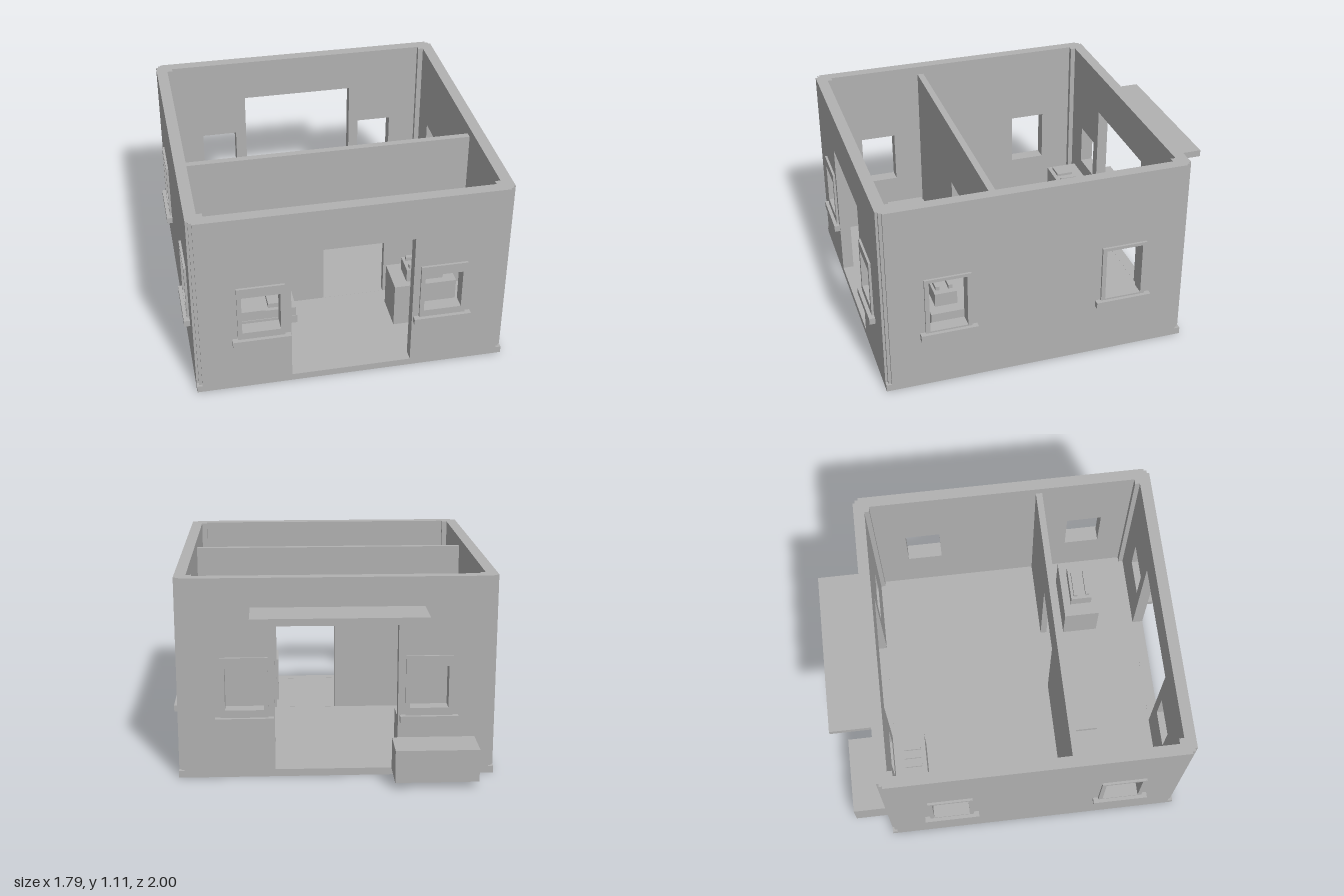
import * as THREE from 'three';

const TOP = 1.11, FLOOR = 0.04, THICK = 0.063;
const XO = 0.86, ZF = 0.963, ZB = -0.756; // outer wall faces

export function createModel() {
  const model = new THREE.Group();
  const plaster = new THREE.MeshStandardMaterial({ color: 0xb2b2b2 });
  plaster.name = 'grey plaster';

  const mesh = (name, geometry, parent = model) => {
    const m = new THREE.Mesh(geometry, plaster);
    m.name = name;
    parent.add(m);
    return m;
  };
  // box from min and max corners
  const box = (name, x0, x1, y0, y1, z0, z1, parent = model) => {
    const m = mesh(name, new THREE.BoxGeometry(x1 - x0, y1 - y0, z1 - z0), parent);
    m.position.set((x0 + x1) / 2, (y0 + y1) / 2, (z0 + z1) / 2);
    return m;
  };
  const rect = (target, x0, x1, y0, y1) => {
    target.moveTo(x0, y0);
    target.lineTo(x1, y0);
    target.lineTo(x1, y1);
    target.lineTo(x0, y1);
    target.closePath();
    return target;
  };
  // upright slab with rectangular openings, from z = 0 to depth
  const slab = (bounds, holes, depth) => {
    const shape = rect(new THREE.Shape(), ...bounds);
    for (const h of holes) shape.holes.push(rect(new THREE.Path(), ...h));
    return new THREE.ExtrudeGeometry(shape, { depth, bevelEnabled: false });
  };

  // wall facing local +z, with framed windows and optional door
  const wall = (name, x0, x1, windows, winY, door) => {
    const group = new THREE.Group();
    group.name = name;
    model.add(group);
    const holes = windows.map(c => [c - 0.104, c + 0.104, ...winY]);
    if (door) holes.push(door);
    mesh('wallPanel', slab([x0, x1, FLOOR, TOP], holes, THICK), group);
    windows.forEach((c, i) => {
      const frame = slab([c - 0.128, c + 0.128, 0.343, 0.678], [holes[i]], 0.013);
      mesh('windowFrame', frame, group).position.z = THICK;
      box('windowSill', c - 0.158, c + 0.158, 0.307, 0.344, THICK - 0.002, THICK + 0.033, group);
    });
    return group;
  };

  // base slab
  box('floor', -XO, XO, 0, FLOOR, ZB, ZF);

  // outer walls
  const door = [-0.335, 0.33, FLOOR + 0.0005, 0.863];
  const faceY = [0.386, 0.62], sideY = [0.353, 0.66];
  const front = wall('frontWall', -0.83, 0.83, [-0.498, 0.495], faceY, door);
  front.position.z = ZF - THICK;
  const back = wall('backWall', -0.83, 0.83, [-0.498, 0.498], faceY, door);
  back.rotation.y = Math.PI;
  back.position.z = ZB + THICK;
  const zWin = [0.608, -0.384];
  for (const s of [1, -1]) {
    const ends = [-s * (ZF - 0.03), -s * (ZB + 0.03)].sort((a, b) => a - b);
    const side = wall(s > 0 ? 'leftWall' : 'rightWall', ...ends, zWin.map(z => -s * z), sideY);
    side.rotation.y = s * Math.PI / 2;
    side.position.x = s * (XO - THICK);
  }

  // corner posts, set back from the outer faces
  for (const s of [1, -1]) {
    const x = [s * 0.767, s * 0.847].sort((a, b) => a - b);
    box('cornerPost', ...x, FLOOR, TOP, 0.872, ZF - 0.013);
    box('cornerPost', ...x, FLOOR, TOP, ZB + 0.013, -0.665);
  }

  // inner dividing wall with a doorway
  const divider = slab([-0.798, 0.798, FLOOR, 1.06], [[-0.035, 0.325, FLOOR + 0.0005, 0.703]], 0.037);
  mesh('dividingWall', divider).position.z = 0.3;

  // rear canopy and step
  box('canopy', -0.467, 0.46, 0.912, 0.95, -1, ZB);
  box('rearBlock', -0.75, -0.3, 0.035, 0.215, -0.968, ZB);

  // bed
  const bed = new THREE.Group();
  bed.name = 'bed';
  model.add(bed);
  box('bedFrame', -0.79, -0.235, 0.08, 0.132, 0.343, 0.577, bed);
  box('mattress', -0.785, -0.243, 0.132, 0.188, 0.347, 0.573, bed);
  box('blanket', -0.745, -0.42, 0.188, 0.195, 0.345, 0.575, bed);
  box('pillow', -0.4, -0.265, 0.188, 0.217, 0.367, 0.55, bed);
  for (const x of [-0.75, -0.305])
    for (const z of [0.365, 0.54]) box('bedLeg', x, x + 0.017, FLOOR, 0.08, z, z + 0.017, bed);

  // cabinet with a small device
  box('cabinet', 0.313, 0.672, FLOOR, 0.31, 0.445, 0.657);
  box('device', 0.39, 0.604, 0.31, 0.39, 0.49, 0.617);
  for (const z of [0.507, 0.58]) box('deviceBar', 0.407, 0.568, 0.39, 0.413, z, z + 0.023);

  // rear counter with basin and drain bars
  box('counter', -0.716, -0.336, FLOOR, 0.3, -0.692, -0.502);
  box('basin', -0.69, -0.585, 0.3, 0.315, -0.628, -0.527);
  for (const x of [-0.541, -0.488, -0.436]) box('counterBar', x, x + 0.017, 0.3, 0.315, -0.632, -0.53);

  return model;
}
